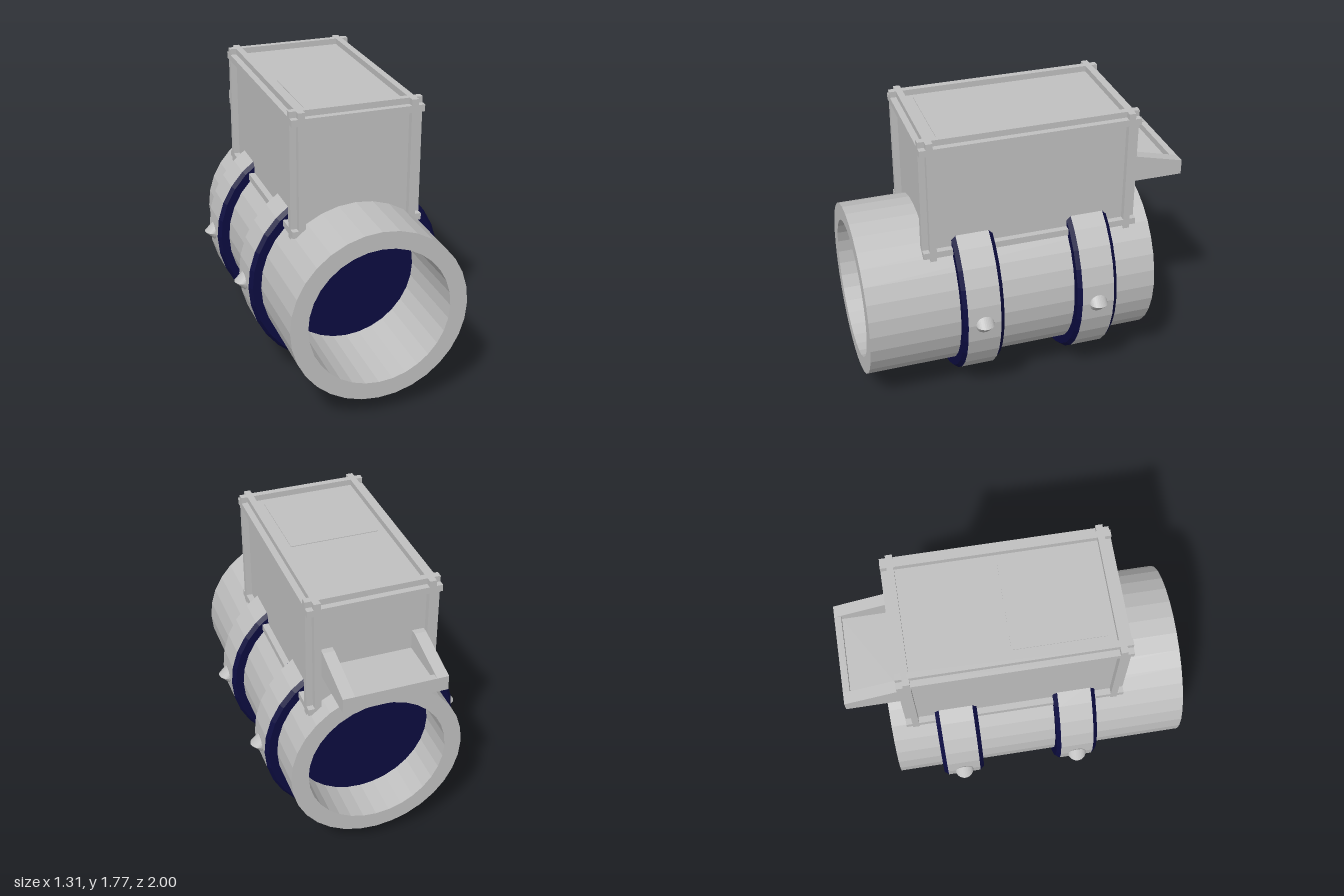
import * as THREE from 'three';

const CY = 0.657; // height of the pipe axis

export function createModel() {
  const model = new THREE.Group();
  model.name = 'pipeMountedBox';
  const grey = new THREE.MeshStandardMaterial({ color: 0xc0c0c0, flatShading: true });
  grey.name = 'light grey';
  const navy = new THREE.MeshStandardMaterial({ color: 0x0c0c40, flatShading: true });
  navy.name = 'dark navy';

  const add = (name, geometry, material, parent = model) => {
    const mesh = new THREE.Mesh(geometry, material);
    mesh.name = name;
    parent.add(mesh);
    return mesh;
  };
  // box given by its minimum and maximum corners
  const block = (name, a, b, parent) => {
    const g = new THREE.BoxGeometry(b[0] - a[0], b[1] - a[1], b[2] - a[2]);
    g.translate((a[0] + b[0]) / 2, (a[1] + b[1]) / 2, (a[2] + b[2]) / 2);
    return add(name, g, grey, parent);
  };
  // 32-sided solid of revolution along the pipe axis, from [radius, z] points
  const turned = (name, points, material, parent) => {
    const g = new THREE.LatheGeometry(points.map(([r, z]) => new THREE.Vector2(r, z)), 32);
    g.rotateX(Math.PI / 2);
    g.translate(0, CY, 0);
    return add(name, g, material, parent);
  };

  // Hollow pipe
  turned('pipe', [[0.425, -0.77], [0.53, -0.77], [0.53, 1], [0.425, 1], [0.425, -0.77]], grey);

  // Two clamps: dark bevelled discs with a grey band and studs
  for (const z of [0.33, -0.378]) {
    const clamp = new THREE.Group();
    clamp.name = z > 0 ? 'frontClamp' : 'backClamp';
    model.add(clamp);
    turned('clampBackDisc', [[0, z - 0.125], [0.58, z - 0.125], [0.6, z - 0.1]], navy, clamp);
    turned('clampBand', [[0.6, z - 0.1], [0.6, z + 0.1]], grey, clamp);
    turned('clampFrontDisc', [[0.6, z + 0.1], [0.58, z + 0.125], [0, z + 0.125]], navy, clamp);
    for (const [dx, dy] of [[1, 0], [-1, 0], [0, -1]]) {
      const stud = new THREE.SphereGeometry(0.055, 4, 16);
      stud.rotateX(Math.PI / 2);
      add('stud', stud, grey, clamp).position.set(dx * 0.601, CY + dy * 0.601, z);
    }
  }

  // Box with raised edge strips on every face
  const box = new THREE.Group();
  box.name = 'box';
  model.add(box);
  const inner = [[-0.352, 1.035, -0.643], [0.352, 1.74, 0.592]];
  const outer = [[-0.39, 1.0, -0.68], [0.39, 1.776, 0.63]];
  const W = 0.04;
  block('boxBody', inner[0], inner[1], box);
  for (let axis = 0; axis < 3; axis++) {
    for (const side of [0, 1]) {
      for (let across = 0; across < 3; across++) {
        if (across === axis) continue;
        for (const edge of [0, 1]) {
          const a = [...outer[0]], b = [...outer[1]];
          // depth of the strip, from the body face outward
          if (side) a[axis] = inner[1][axis]; else b[axis] = inner[0][axis];
          // width of the strip, just inside the body edge
          a[across] = edge ? inner[1][across] - W : inner[0][across];
          b[across] = a[across] + W;
          block('edgeStrip', a, b, box);
        }
      }
    }
  }
  block('hatch', [-0.265, 1.74, -0.03], [0.265, 1.744, 0.5], box);

  // Tray on the back of the box
  const tray = new THREE.Group();
  tray.name = 'tray';
  model.add(tray);
  block('trayFloor', [-0.305, 1.28, -1], [0.305, 1.33, -0.643], tray);
  block('trayLip', [-0.235, 1.33, -1], [0.235, 1.37, -0.96], tray);
  const profile = new THREE.Shape([[0.643, 1.33], [1, 1.33], [1, 1.37], [0.68, 1.45], [0.643, 1.45]]
    .map(([x, y]) => new THREE.Vector2(x, y)));
  for (const x of [-0.305, 0.235]) {
    const g = new THREE.ExtrudeGeometry(profile, { depth: 0.07, bevelEnabled: false });
    g.rotateY(Math.PI / 2);
    add('traySide', g, grey, tray).position.x = x;
  }
  return model;
}
